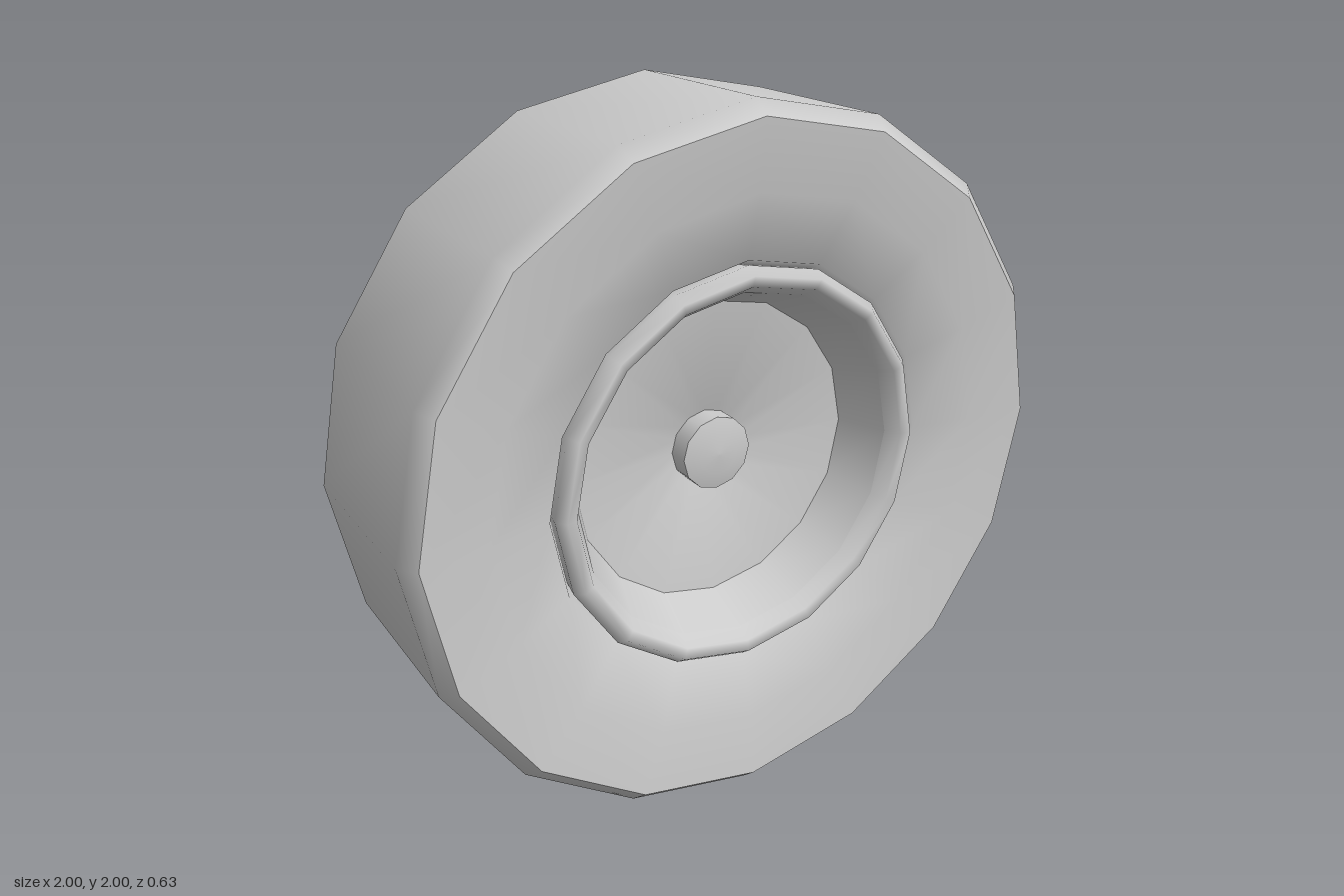
import * as THREE from 'three';

const material = new THREE.MeshStandardMaterial({ color: 0xcccccc });

// Revolves [radius, z] points around the axle; corners inside one profile are smooth.
function ring(name, profile, sides = 16) {
  const points = profile.map(([r, z]) => new THREE.Vector2(r, z));
  const geometry = new THREE.LatheGeometry(points, sides);
  geometry.rotateX(Math.PI / 2);
  const mesh = new THREE.Mesh(geometry, material);
  mesh.name = name;
  return mesh;
}

// The same profile on the back face of the wheel.
const mirrored = (profile) => profile.map(([r, z]) => [r, -z]).reverse();

export function createModel() {
  const wheel = new THREE.Group();
  wheel.name = 'wheel';

  // Tread with bevelled shoulders
  wheel.add(ring('tread', [[0.96, -0.315], [1, -0.27], [1, 0.27], [0.96, 0.315]]));

  // Parts shared by both faces
  const faces = {
    Sidewall: [[0.96, 0.315], [0.77, 0.295], [0.59, 0.25], [0.565, 0.19]],
    RimLip: [[0.565, 0.19], [0.577, 0.25], [0.555, 0.28], [0.525, 0.272], [0.5, 0.23]],
    RimBarrel: [[0.5, 0.23], [0.44, 0.09]],
  };
  for (const [name, profile] of Object.entries(faces)) {
    wheel.add(ring('front' + name, profile));
    wheel.add(ring('back' + name, mirrored(profile)));
  }

  // Dish sinking to the hub in front, flat plate behind
  wheel.add(ring('dish', [[0.44, 0.09], [0.1, 0.04], [0.08, -0.02]]));
  wheel.add(ring('backPlate', [[0, -0.09], [0.44, -0.09]]));

  // Softly domed hub cap and brake drum
  wheel.add(ring('hubCapSide', [[0.108, -0.01], [0.108, 0.105]], 12));
  wheel.add(ring('hubCapFace', [[0.108, 0.105], [0.06, 0.117], [0, 0.12]], 12));
  wheel.add(ring('drumSide', [[0.39, -0.29], [0.39, -0.06]], 12));
  wheel.add(ring('drumFace', [[0, -0.285], [0.39, -0.29]], 12));

  wheel.position.y = 1;
  const model = new THREE.Group();
  model.add(wheel);
  return model;
}
